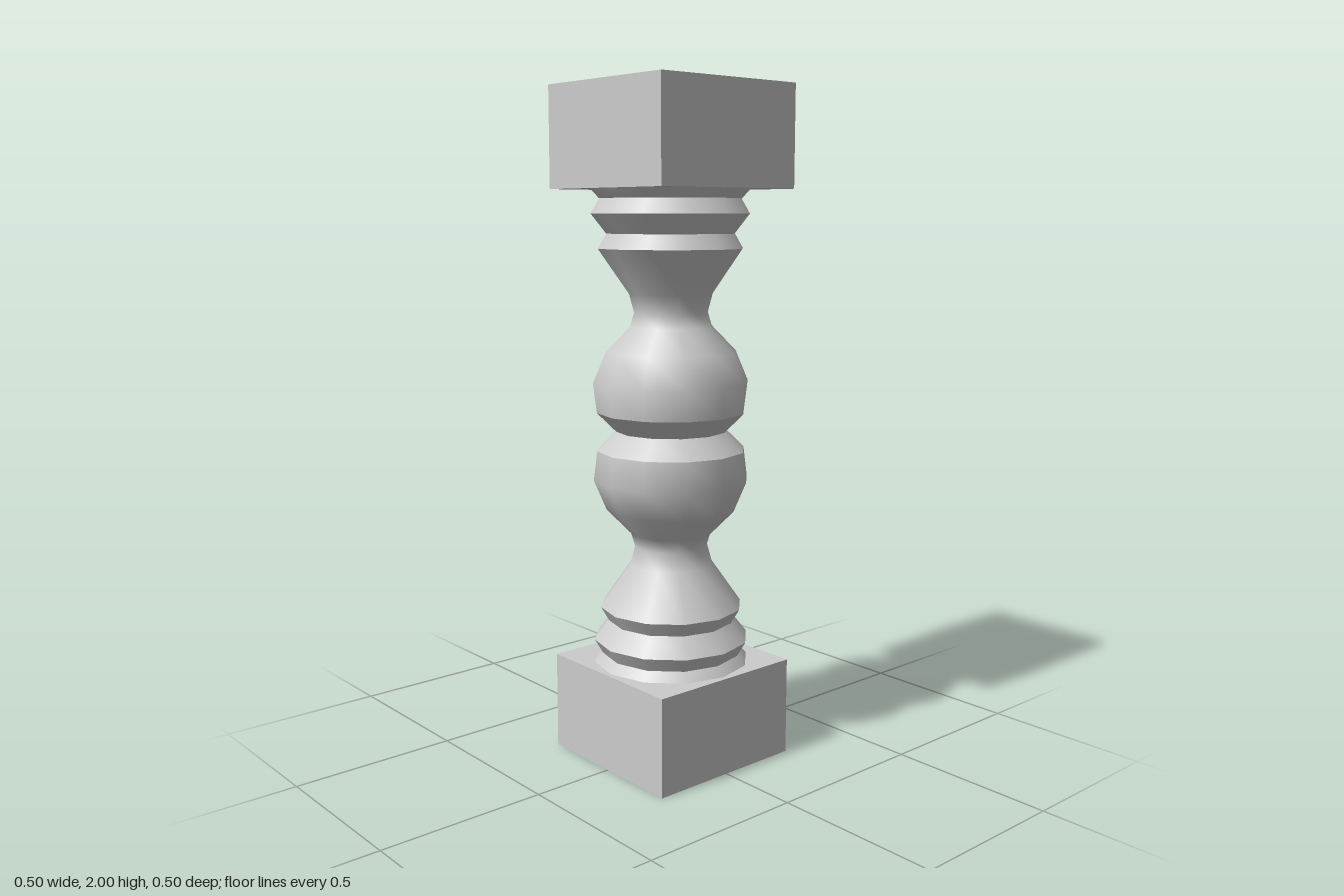
import * as THREE from 'three';

const SIDES = 12;

// Profile of the lower half [radius, height]; each run is smooth, with a sharp edge between runs
const RUNS = [
  [[0.235, 0.29], [0.235, 0.295], [0.21, 0.322]],
  [[0.21, 0.322], [0.235, 0.365]],
  [[0.235, 0.365], [0.19, 0.422]],
  [[0.19, 0.422], [0.215, 0.465]],
  [[0.215, 0.465], [0.125, 0.595], [0.11, 0.65], [0.122, 0.69], [0.195, 0.765], [0.233, 0.855], [0.222, 0.943]],
  [[0.222, 0.943], [0.165, 1.0]],
];
const NAMES = ['footRing', 'lowerTorus', 'upperTorus', 'collar', 'vaseBody', 'waistBevel'];

export function createModel() {
  const model = new THREE.Group();
  model.name = 'baluster';
  const stone = new THREE.MeshStandardMaterial({ color: 0xcccccc });
  stone.name = 'pale grey stone';

  // Square plinth and matching cap
  for (const [name, y] of [['plinth', 0.1475], ['capBlock', 1.8525]]) {
    const block = new THREE.Mesh(new THREE.BoxGeometry(0.5, 0.295, 0.5), stone);
    block.name = name;
    block.position.y = y;
    model.add(block);
  }

  // Turned shaft: lower half and its mirror image about y = 1
  for (const upper of [false, true]) {
    const half = new THREE.Group();
    half.name = upper ? 'upperTurning' : 'lowerTurning';
    RUNS.forEach((run, i) => {
      const points = run.map(([r, y]) => new THREE.Vector2(r, upper ? 2 - y : y));
      if (upper) points.reverse();
      const mesh = new THREE.Mesh(new THREE.LatheGeometry(points, SIDES), stone);
      mesh.name = NAMES[i];
      half.add(mesh);
    });
    model.add(half);
  }
  return model;
}
